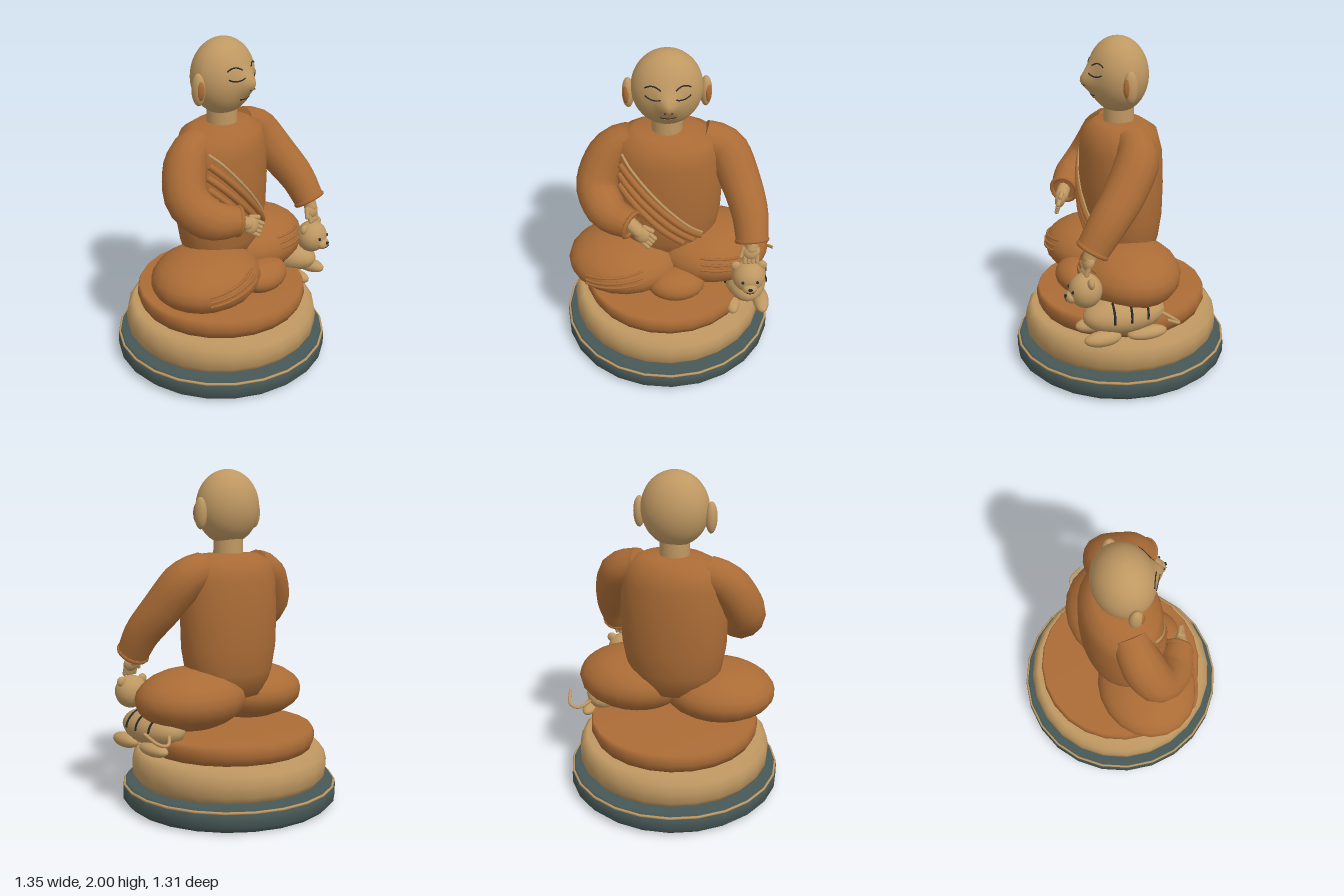
import * as THREE from 'three';

const mat = (name, color, side = THREE.FrontSide) => {
  const m = new THREE.MeshStandardMaterial({ color, side });
  m.name = name;
  return m;
};
const V = (x, y, z) => new THREE.Vector3(x, y, z);
const CX = -0.02; // axis of the figure

export function createModel() {
  const root = new THREE.Group();
  const robe = mat('robe orange', 0xab6c36);
  const tan = mat('skin tan', 0xbf9862);
  const slate = mat('slate', 0x465856);
  const ink = mat('ink', 0x23292e);

  const add = (name, geo, m, parent = root) => {
    const mesh = new THREE.Mesh(geo, m);
    mesh.name = name;
    parent.add(mesh);
    return mesh;
  };
  const group = (name) => {
    const g = new THREE.Group();
    g.name = name;
    root.add(g);
    return g;
  };
  const ball = (name, c, r, m, parent, ws = 20, hs = 14) => {
    const mesh = add(name, new THREE.SphereGeometry(1, ws, hs), m, parent);
    mesh.position.set(...c);
    mesh.scale.set(...r);
    return mesh;
  };
  const lathe = (name, pts, m, seg = 24) =>
    add(name, new THREE.LatheGeometry(pts.map((p) => new THREE.Vector2(...p)), seg), m);
  const line = (name, pts, r, m, parent, n = 16, sides = 6) =>
    add(name, new THREE.TubeGeometry(new THREE.CatmullRomCurve3(pts), n, r, sides), m, parent);
  const capsule = (name, a, b, r, m, parent) => {
    const d = b.clone().sub(a);
    const mesh = add(name, new THREE.CapsuleGeometry(r, d.length(), 4, 10), m, parent);
    mesh.position.copy(a).addScaledVector(d, 0.5);
    mesh.quaternion.setFromUnitVectors(V(0, 1, 0), d.normalize());
    return mesh;
  };
  // samples a row of points across x, with y and z given by rules
  const trace = (x0, x1, fy, fz, n = 10) => Array.from({ length: n + 1 }, (_, i) => {
    const t = i / n, x = x0 + (x1 - x0) * t, y = fy(t);
    return V(x, y, fz(x, y));
  });

  // Tiered pedestal
  lathe('plinth', [[0, 0], [0.62, 0], [0.655, 0.035], [0.655, 0.1], [0.63, 0.145], [0, 0.148]], slate).position.x = CX;
  const rim = add('plinthTrim', new THREE.TorusGeometry(0.645, 0.008, 6, 24), tan);
  rim.rotation.x = Math.PI / 2;
  rim.position.set(CX, 0.12, 0);
  lathe('middleTier', [[0, 0.14], [0.56, 0.14], [0.593, 0.185], [0.597, 0.25], [0.585, 0.305], [0.55, 0.342], [0, 0.345]], tan).position.x = CX;
  lathe('cushion', [[0, 0.34], [0.5, 0.34], [0.522, 0.39], [0.52, 0.43], [0.508, 0.457], [0, 0.459]], robe).position.x = CX;

  // Crossed legs with cloth folds
  const legs = group('crossedLegs');
  const legSpecs = [
    { name: 'rightLeg', c: [-0.28, 0.63, 0.09], r: [0.35, 0.172, 0.31], x: [-0.52, -0.18], y: [0.665, 0.715] },
    { name: 'leftLeg', c: [0.25, 0.66, 0.04], r: [0.355, 0.188, 0.3], x: [0.165, 0.39], y: [0.755, 0.745] },
  ];
  for (const { name, c, r, x, y } of legSpecs) {
    ball(name, c, r, robe, legs, 20, 12);
    const surf = (px, py) => c[2] + r[2] * Math.sqrt(Math.max(0, 1 - ((px - c[0]) / r[0]) ** 2 - ((py - c[1]) / r[1]) ** 2));
    for (let k = 0; k < 3; k++) {
      line(name + 'Fold', trace(x[0], x[1], (t) => y[0] + (y[1] - y[0]) * t - k * 0.03, surf), 0.008, robe, legs);
    }
  }
  ball('tuckedFoot', [0.02, 0.57, 0.29], [0.175, 0.097, 0.13], robe, legs);

  // Torso
  const prof = [[0, 0.6], [0.24, 0.66], [0.295, 0.8], [0.322, 0.95], [0.328, 1.15], [0.318, 1.35], [0.28, 1.46], [0.19, 1.505], [0, 1.515]];
  const torso = lathe('torso', prof, robe);
  torso.scale.z = 0.74;
  torso.position.x = CX;
  const torsoZ = (x, y) => {
    const i = Math.max(1, prof.findIndex((p) => p[1] >= y));
    const [a, b] = [prof[i - 1], prof[i]];
    const R = a[0] + (b[0] - a[0]) * (y - a[1]) / (b[1] - a[1]);
    return 0.74 * Math.sqrt(Math.max(0, R * R - (x - CX) ** 2));
  };

  // Diagonal sash: a thin trim and three rolled folds
  const sash = group('sash');
  const diagonal = (x0, y0, x1, y1) => trace(x0, x1, (t) => y0 + (y1 - y0) * t - 0.05 * t * (1 - t), torsoZ, 14);
  line('sashTrim', diagonal(-0.28, 1.4, 0.18, 0.86), 0.009, tan, sash, 28);
  for (const s of [[-0.29, 1.34, 0.17, 0.84], [-0.3, 1.27, 0.12, 0.83], [-0.3, 1.2, 0.06, 0.82]]) {
    line('sashFold', diagonal(...s), 0.02, robe, sash, 28, 8);
  }

  // Sleeves: tapered sweeps with flat ends and a rolled cuff
  const sleeve = (name, pts, radii) => {
    const g = group(name);
    const curve = new THREE.CatmullRomCurve3(pts);
    const n = 16, sides = 14;
    const geo = new THREE.TubeGeometry(curve, n, 1, sides);
    const pos = geo.attributes.position;
    const p = V(0, 0, 0);
    for (let i = 0; i < pos.count; i++) {
      const u = Math.floor(i / (sides + 1)) / n;
      const s = u * (radii.length - 1), k = Math.min(Math.floor(s), radii.length - 2);
      const c = curve.getPointAt(u);
      p.fromBufferAttribute(pos, i).sub(c).multiplyScalar(radii[k] + (radii[k + 1] - radii[k]) * (s - k)).add(c);
      pos.setXYZ(i, p.x, p.y, p.z);
    }
    add('sleeveCloth', geo, robe, g);
    for (const u of [0, 1]) {
      const r = u ? radii[radii.length - 1] : radii[0];
      const cap = add('sleeveEnd', new THREE.CircleGeometry(r, sides), robe, g);
      cap.position.copy(curve.getPointAt(u));
      cap.quaternion.setFromUnitVectors(V(0, 0, 1), curve.getTangentAt(u).multiplyScalar(u ? 1 : -1));
      if (u) {
        const cuff = add('cuff', new THREE.TorusGeometry(r - 0.006, 0.014, 6, 18), robe, g);
        cuff.position.copy(cap.position);
        cuff.quaternion.copy(cap.quaternion);
      }
    }
  };
  sleeve('rightSleeve', [V(-0.21, 1.43, -0.01), V(-0.33, 1.37, 0), V(-0.43, 1.17, 0.08), V(-0.37, 1.06, 0.2), V(-0.24, 1.03, 0.29)],
    [0.1, 0.125, 0.125, 0.12, 0.085]);
  sleeve('leftSleeve', [V(0.18, 1.43, -0.01), V(0.31, 1.37, 0.01), V(0.4, 1.2, 0.12), V(0.45, 1.05, 0.24), V(0.46, 0.92, 0.325)],
    [0.1, 0.125, 0.12, 0.11, 0.095]);

  // Hands
  const hand = (name, wrist, tip, across) => {
    const g = group(name);
    const at = (t, s = 0) => wrist.clone().lerp(tip, t).addScaledVector(across, s);
    capsule('wrist', at(-0.2), at(0.4), 0.04, tan, g);
    const palm = ball('palm', at(0.55).toArray(), [0.052, 0.05, 0.032], tan, g);
    palm.quaternion.setFromRotationMatrix(new THREE.Matrix4().makeBasis(
      across, tip.clone().sub(wrist).normalize(), across.clone().cross(tip.clone().sub(wrist).normalize())));
    for (let i = 0; i < 4; i++) {
      const s = (i - 1.5) * 0.024;
      capsule('finger', at(0.65, s), at(1, s), 0.013, tan, g);
    }
    capsule('thumb', at(0.45, 0.045), at(0.75, 0.06), 0.014, tan, g);
  };
  hand('rightHand', V(-0.24, 1.035, 0.29), V(-0.125, 0.955, 0.365), V(0.55, 0.83, 0).normalize());
  hand('leftHand', V(0.46, 0.93, 0.32), V(0.455, 0.79, 0.37), V(-1, 0, 0));

  // Neck and head, with the nose drawn out of the face
  add('neck', new THREE.CylinderGeometry(0.088, 0.09, 0.14, 20), tan).position.set(CX, 1.53, 0.008);
  const head = group('head');
  const nose = (x, y) => 0.055 * Math.exp(-(((x - CX) / 0.05) ** 2) - ((y - 1.76) / 0.065) ** 2);
  const HY = 1.78;
  const faceZ = (x, y) => 0.013 + 0.175 * Math.sqrt(Math.max(0, 1 - ((x - CX) / 0.2) ** 2 - ((y - HY) / 0.22) ** 2)) + nose(x, y);
  const skull = new THREE.SphereGeometry(1, 40, 28).scale(0.2, 0.22, 0.175).translate(CX, HY, 0.013);
  const sp = skull.attributes.position;
  for (let i = 0; i < sp.count; i++) {
    if (sp.getZ(i) > 0.02) sp.setZ(i, sp.getZ(i) + nose(sp.getX(i), sp.getY(i)));
  }
  skull.computeVertexNormals();
  add('skull', skull, tan, head);
  for (const s of [-1, 1]) {
    ball('ear', [CX + s * 0.215, 1.745, 0.01], [0.034, 0.093, 0.042], tan, head);
    ball('innerEar', [CX + s * 0.224, 1.745, 0.026], [0.021, 0.062, 0.031], robe, head);
    const ex = CX + s * 0.082;
    line('closedEye', trace(ex - 0.042, ex + 0.042, (t) => 1.805 - 0.06 * t * (1 - t), faceZ), 0.004, ink, head);
    line('eyebrow', trace(ex - 0.042, ex + 0.042, (t) => 1.847 + 0.07 * t * (1 - t), faceZ), 0.004, ink, head);
    const nx = CX + s * 0.019;
    ball('nostril', [nx, 1.733, faceZ(nx, 1.733)], [0.006, 0.004, 0.004], ink, head, 8, 6);
  }
  line('mouth', trace(CX - 0.045, CX + 0.045, (t) => 1.676 - 0.02 * t * (1 - t), faceZ), 0.004, ink, head);
  line('lowerLip', trace(CX - 0.025, CX + 0.025, (t) => 1.661 - 0.02 * t * (1 - t), faceZ), 0.005, robe, head);

  // Tiger cub under the left hand
  const cub = group('tigerCub');
  const X = 0.455, bc = [X, 0.502, 0.14], br = [0.137, 0.11, 0.245];
  ball('cubBody', bc, br, tan, cub);
  ball('cubHead', [0.448, 0.678, 0.365], [0.1, 0.1, 0.095], tan, cub);
  ball('cubMuzzle', [0.448, 0.65, 0.45], [0.046, 0.034, 0.032], tan, cub, 14, 10);
  ball('cubNose', [0.448, 0.662, 0.48], [0.014, 0.01, 0.009], ink, cub, 10, 8);
  line('cubMouth', trace(0.425, 0.471, (t) => 0.642 - 0.03 * t * (1 - t), () => 0.479), 0.003, ink, cub);
  for (const s of [-1, 1]) {
    ball('cubEar', [0.448 + s * 0.077, 0.748, 0.355], [0.031, 0.031, 0.02], tan, cub, 14, 10);
    ball('cubEye', [0.448 + s * 0.043, 0.695, 0.45], [0.009, 0.01, 0.008], ink, cub, 10, 8);
    ball('cubFrontPaw', [X + s * 0.09, 0.408, 0.295], [0.05, 0.045, 0.11], tan, cub);
    ball('cubBackPaw', [X + s * 0.09, 0.402, 0.03], [0.05, 0.04, 0.12], tan, cub);
    // flank stripes
    for (const z of [0.03, 0.132, 0.23]) {
      const k = Math.sqrt(1 - ((z - bc[2]) / br[2]) ** 2);
      const pts = Array.from({ length: 7 }, (_, i) => {
        const a = i / 6 * 1.2;
        return V(X + s * br[0] * k * Math.cos(a), bc[1] + br[1] * k * Math.sin(a), z - 0.012 * i / 6 + 0.006);
      });
      line('cubStripe', pts, 0.007, ink, cub);
    }
  }
  line('cubTail', [V(0.5, 0.5, -0.06), V(0.575, 0.465, -0.135), V(0.63, 0.478, -0.128), V(0.665, 0.53, -0.04)], 0.01, tan, cub, 20, 8);

  return root;
}
